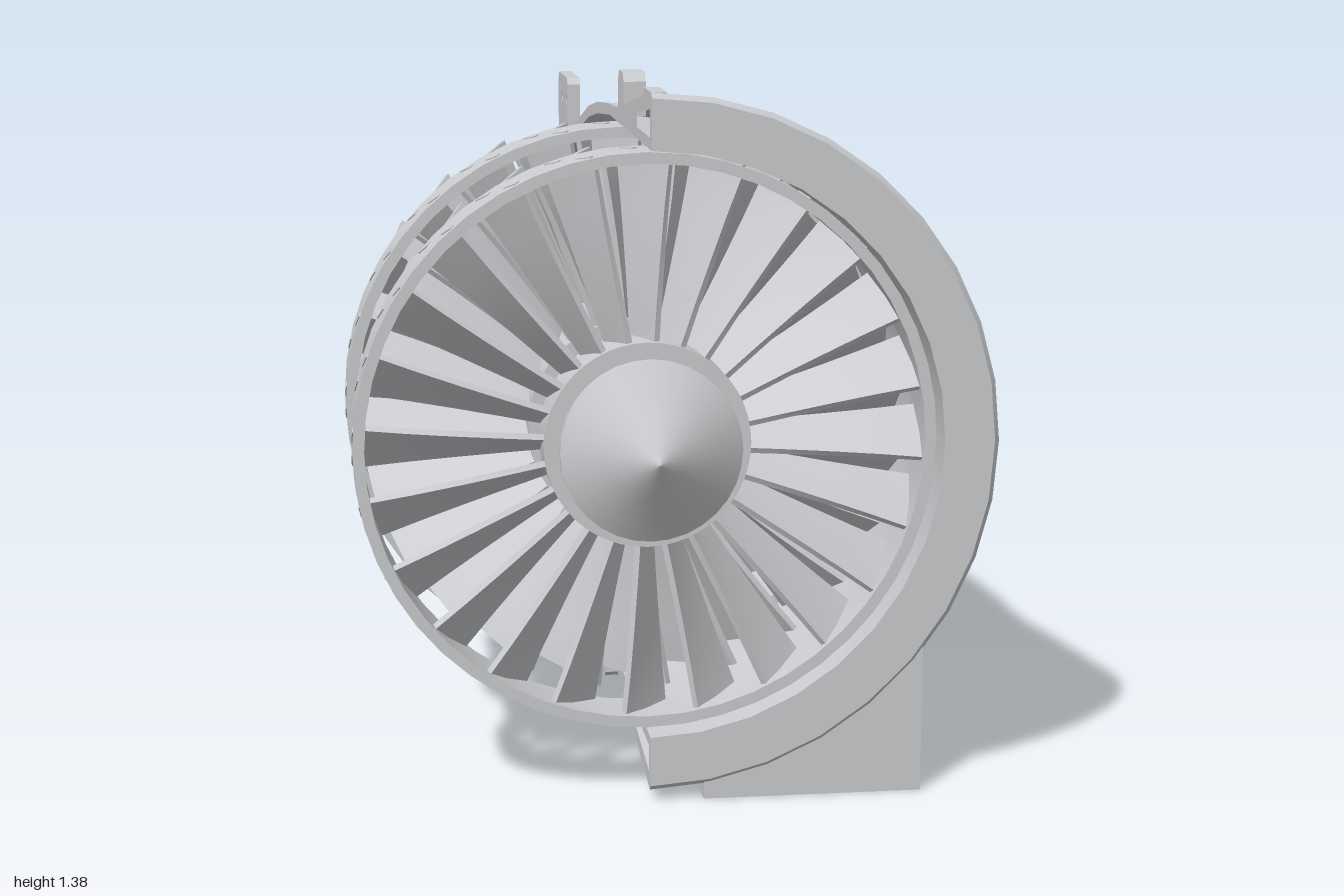
import * as THREE from 'three';
import { toCreasedNormals, mergeGeometries } from 'three/addons/utils/BufferGeometryUtils.js';

const AX = -0.056, AY = 0.7; // engine axis
const grey = new THREE.MeshStandardMaterial({ color: 0xcccdd0, side: THREE.DoubleSide });
grey.name = 'plain grey';

function add(parent, name, geometry, x = 0, y = 0, z = 0) {
  const m = new THREE.Mesh(geometry, grey);
  m.name = name;
  m.position.set(x, y, z);
  parent.add(m);
  return m;
}

// cylinder along z between two depths
function zCyl(r, z0, z1, seg = 40) {
  return new THREE.CylinderGeometry(r, r, z1 - z0, seg).rotateX(Math.PI / 2).translate(0, 0, (z0 + z1) / 2);
}

// profile of [radius, z] turned about z
function turned(pts, seg = 48, start = 0, sweep = Math.PI * 2) {
  const v = pts.map(p => new THREE.Vector2(p[0], p[1]));
  return toCreasedNormals(new THREE.LatheGeometry(v, seg, start, sweep).rotateX(Math.PI / 2), 0.5);
}

const ringGeo = (ri, ro, z0, z1) => turned([[ri, z0], [ro, z0], [ro, z1], [ri, z1], [ri, z0]]);

const polygon = pts => new THREE.Shape(pts.map(p => new THREE.Vector2(p[0], p[1])));

function hole(shape, x, y, r) {
  const p = new THREE.Path();
  p.absarc(x, y, r, 0, Math.PI * 2, true);
  shape.holes.push(p);
}

const slab = (shape, depth) => new THREE.ExtrudeGeometry(shape, { depth, bevelEnabled: false, curveSegments: 20 });

// upright plate drawn in (z, y), thickened towards +x
const sidePlate = (shape, depth) => slab(shape, depth).rotateY(-Math.PI / 2).translate(depth, 0, 0);

// ring of twisted blades; each blade is a box bent by a rule
function blades(n, r0, r1, span0, span1, a0, a1, thick, zMid) {
  const g = new THREE.BoxGeometry(1, 1, 1, 1, 4, 1);
  const p = g.attributes.position;
  for (let i = 0; i < p.count; i++) {
    const t = p.getY(i) + 0.5;
    const a = a0 + (a1 - a0) * t;
    const c = p.getZ(i) * (span0 + (span1 - span0) * t) / Math.cos(a);
    const w = p.getX(i) * thick;
    p.setXYZ(i, w * Math.cos(a) - c * Math.sin(a), r0 + (r1 - r0) * t, w * Math.sin(a) + c * Math.cos(a) + zMid);
  }
  g.computeVertexNormals();
  const all = [];
  for (let i = 0; i < n; i++) all.push(g.clone().rotateZ(i * Math.PI * 2 / n));
  return mergeGeometries(all);
}

// foot block whose top follows the casing and whose outer wall tapers backwards
function footGeo() {
  const g = new THREE.BoxGeometry(1, 1, 1, 16, 1, 8);
  const p = g.attributes.position;
  for (let i = 0; i < p.count; i++) {
    const t = p.getZ(i) + 0.5; // 0 at the back, 1 at the front
    const x = 0.05 + (p.getX(i) + 0.5) * (0.395 + 0.035 * t);
    const r = 0.595 + 0.071 * t;
    const top = AY - Math.sqrt(r * r - (x - AX) ** 2);
    p.setXYZ(i, x, (p.getY(i) + 0.5) * top, 0.35 + 0.513 * t);
  }
  g.computeVertexNormals();
  return g;
}

export function createModel() {
  const model = new THREE.Group();
  model.name = 'cutawayTurbine';
  const core = new THREE.Group();
  core.name = 'core';
  core.position.set(AX, AY, 0);
  model.add(core);

  // half casing: outer skin from front to back, inner skin back again
  const outer = [[0.668, 0.87], [0.678, 0.86], [0.655, 0.7], [0.625, 0.5], [0.603, 0.38], [0.598, 0.32],
    [0.59, 0.15], [0.575, -0.03], [0.55, -0.2], [0.512, -0.36], [0.475, -0.5], [0.41, -0.69], [0.34, -0.875]];
  const inner = [[0.315, -0.875], [0.385, -0.69], [0.45, -0.5], [0.487, -0.36], [0.525, -0.2],
    [0.55, -0.03], [0.57, 0.2], [0.57, 0.87]];
  const profile = [...outer, ...inner, outer[0]];
  add(core, 'casing', turned(profile, 18, 0, Math.PI));
  // cut faces, with a pocket in the thick front end
  const pocket = [[0.592, 0.845], [0.592, 0.65], [0.62, 0.65], [0.645, 0.845]];
  for (const s of [-1, 1]) {
    const toSide = ([r, z]) => new THREE.Vector2(z, s * r);
    const cut = new THREE.Shape(profile.slice(0, -1).map(toSide));
    cut.holes.push(new THREE.Path(pocket.map(toSide)));
    add(core, 'casingCutFace', new THREE.ShapeGeometry(cut).rotateY(-Math.PI / 2));
  }

  // shaft and spinner
  add(core, 'shaft', zCyl(0.05, -0.95, 0.87, 24));
  add(core, 'spinner', turned([[0, 0.862], [0.175, 0.862], [0.175, 0.882], [0.085, 0.938], [0, 1]], 32));
  add(core, 'spinnerNeck', zCyl(0.13, 0.82, 0.865));

  // fixed vane rings, pitched against the wheels
  for (const [z0, z1, r, n, hubZ] of [[0.71, 0.825, 0.563, 24, 0.66], [0.26, 0.375, 0.563, 24, 0.21], [-0.83, -0.72, 0.31, 18, -0.72]]) {
    const small = r < 0.4;
    const hub = small ? 0.155 : 0.2, z = (z0 + z1) / 2, pitch = -0.82;
    const stage = new THREE.Group();
    stage.name = 'vaneStage';
    core.add(stage);
    add(stage, 'vaneOuterRing', ringGeo(r - 0.022, r, z0, z1));
    add(stage, 'vaneInnerRing', ringGeo(0.06, hub, z0, z1));
    add(stage, 'vaneHub', zCyl(0.16, hubZ, hubZ + 0.055));
    add(stage, 'vanes', blades(n, hub - 0.01, r - 0.012, 0.085, 0.085, -0.4, pitch, 0.012, z));
    // vane tabs showing through the outer ring
    for (const d of [-0.027, 0.027]) {
      const tabs = blades(n, r - 0.02, r + 0.001, 0.022, 0.022, pitch, pitch, 0.012, z + d);
      add(stage, 'vaneTabs', tabs.rotateZ(d * Math.tan(pitch) / r));
    }
    // bolts on the small rear hub
    for (let i = 0; small && i < 10; i++) {
      const a = i * Math.PI / 5;
      add(stage, 'hubBolt', zCyl(0.009, z0 - 0.005, z0, 8), Math.cos(a) * 0.11, Math.sin(a) * 0.11);
    }
  }

  // spinning blade wheels
  for (const z0 of [0.47, 0.01]) {
    const stage = new THREE.Group();
    stage.name = 'bladeWheel';
    core.add(stage);
    add(stage, 'wheelHub', zCyl(0.213, z0 - 0.05, z0 + 0.165));
    add(stage, 'wheelBlades', blades(24, 0.2, 0.535, 0.14, 0.165, 0.3, 0.68, 0.012, z0 + 0.083));
  }

  // drive gear
  add(core, 'gearBody', zCyl(0.118, -0.42, -0.315));
  for (let i = 0; i < 24; i++) {
    const a = i * Math.PI / 12;
    add(core, 'gearTooth', new THREE.BoxGeometry(0.036, 0.016, 0.105), Math.cos(a) * 0.128, Math.sin(a) * 0.128, -0.3675).rotation.z = a;
  }

  // rear bearing with its arm resting on the motor housing
  add(core, 'bearing', ringGeo(0.055, 0.082, -0.975, -0.89));
  add(core, 'shaftNut', zCyl(0.035, -0.965, -0.94, 6));
  add(core, 'bearingArm', slab(polygon([[0.055, 0.06], [0.13, 0.045], [0.19, 0.05], [0.23, 0.078], [0.27, 0.078],
    [0.27, -0.095], [0.11, -0.095], [0.055, -0.06]]), 0.08), 0, 0, -0.972);

  add(model, 'frontFoot', footGeo());

  // motor housing: thin walls trimmed along the casing
  const box = new THREE.Group();
  box.name = 'motorHousing';
  model.add(box);
  const W = 0.015, skin = outer.filter(p => p[1] <= -0.2);
  add(box, 'outerWall', new THREE.BoxGeometry(W, 0.6, 0.815), 0.4725, 0.305, -0.5925);
  const floor = polygon([[0.05, 0.185], [0.48, 0.185], [0.48, 1], [0.05, 1]]);
  for (const [x, z, w, d] of [[0.13, 0.62, 0.03, 0.14], [0.25, 0.78, 0.12, 0.03], [0.38, 0.62, 0.03, 0.14]]) {
    floor.holes.push(new THREE.Path([[x, z], [x, z + d], [x + w, z + d], [x + w, z]].map(p => new THREE.Vector2(...p))));
  }
  add(box, 'floor', slab(floor, W).rotateX(-Math.PI / 2), 0, 0.005, 0);
  const roofEdge = skin.map(([r, z]) => [AX + r - 0.02, -z]);
  const roof = polygon([[0.48, 0.185], ...roofEdge, [0.05, 0.88], [0.05, 1], [0.48, 1]]);
  add(box, 'roof', slab(roof, W).rotateX(-Math.PI / 2), 0, 0.59, 0);
  const wallEdge = skin.map(([r, z]) => [z, AY - Math.sqrt((r - 0.01) ** 2 - 0.11 ** 2)]);
  add(box, 'innerWall', sidePlate(polygon([[-0.185, 0.005], ...wallEdge, [-0.88, 0.605], [-1, 0.605], [-1, 0.005]]), W), 0.05);
  const front = new THREE.Shape();
  const F = 0.545, bR = -Math.acos((0.48 - AX) / F), bL = -Math.acos((0.05 - AX) / F);
  front.moveTo(0.05, 0.005);
  front.lineTo(0.48, 0.005);
  front.lineTo(0.48, AY + F * Math.sin(bR));
  front.absarc(AX, AY, F, bR, bL, true);
  add(box, 'frontWall', slab(front, W), 0, 0, -0.2);
  const P = 0.35, pL = -Math.acos(0.11 / P), back = new THREE.Shape();
  back.moveTo(0.05, 0.005);
  back.lineTo(0.48, 0.005);
  back.lineTo(0.48, 0.605);
  back.lineTo(AX + Math.sqrt(P * P - 0.095 ** 2), 0.605);
  back.absarc(AX, AY, P, -Math.asin(0.095 / P), pL, true);
  add(box, 'backPanel', slab(back, W), 0, 0, -0.87);
  add(box, 'motor', zCyl(0.16, -0.95, -0.86), 0.27, 0.225);
  add(box, 'motorNut', zCyl(0.055, -0.985, -0.95, 6), 0.27, 0.225);

  // mounting tabs along the cut edge
  for (const s of [1, -1]) {
    const rear = polygon([[-0.66, s * 0.41], [-0.66, s * 0.555], [-0.675, s * 0.57], [-0.86, s * 0.57], [-0.875, s * 0.555], [-0.875, s * 0.33]]);
    hole(rear, -0.69, s * 0.515, 0.011);
    hole(rear, -0.785, s * 0.515, 0.011);
    add(core, 'rearTab', sidePlate(rear, 0.03));
  }
  const low = polygon([[0.11, -0.57], [0.11, -0.67], [0.1, -0.68], [-0.07, -0.68], [-0.08, -0.67], [-0.08, -0.555]]);
  hole(low, 0.072, -0.655, 0.011);
  hole(low, -0.052, -0.655, 0.011);
  add(core, 'lowerTab', sidePlate(low, 0.03));
  add(core, 'upperLug', sidePlate(polygon([[0.35, 0.59], [0.35, 0.66], [0.365, 0.678], [0.425, 0.678], [0.44, 0.66], [0.44, 0.59]]), 0.045));
  add(core, 'frontLug', sidePlate(polygon([[0.74, 0.655], [0.75, 0.678], [0.86, 0.678], [0.86, 0.66]]), 0.03));

  return model;
}
